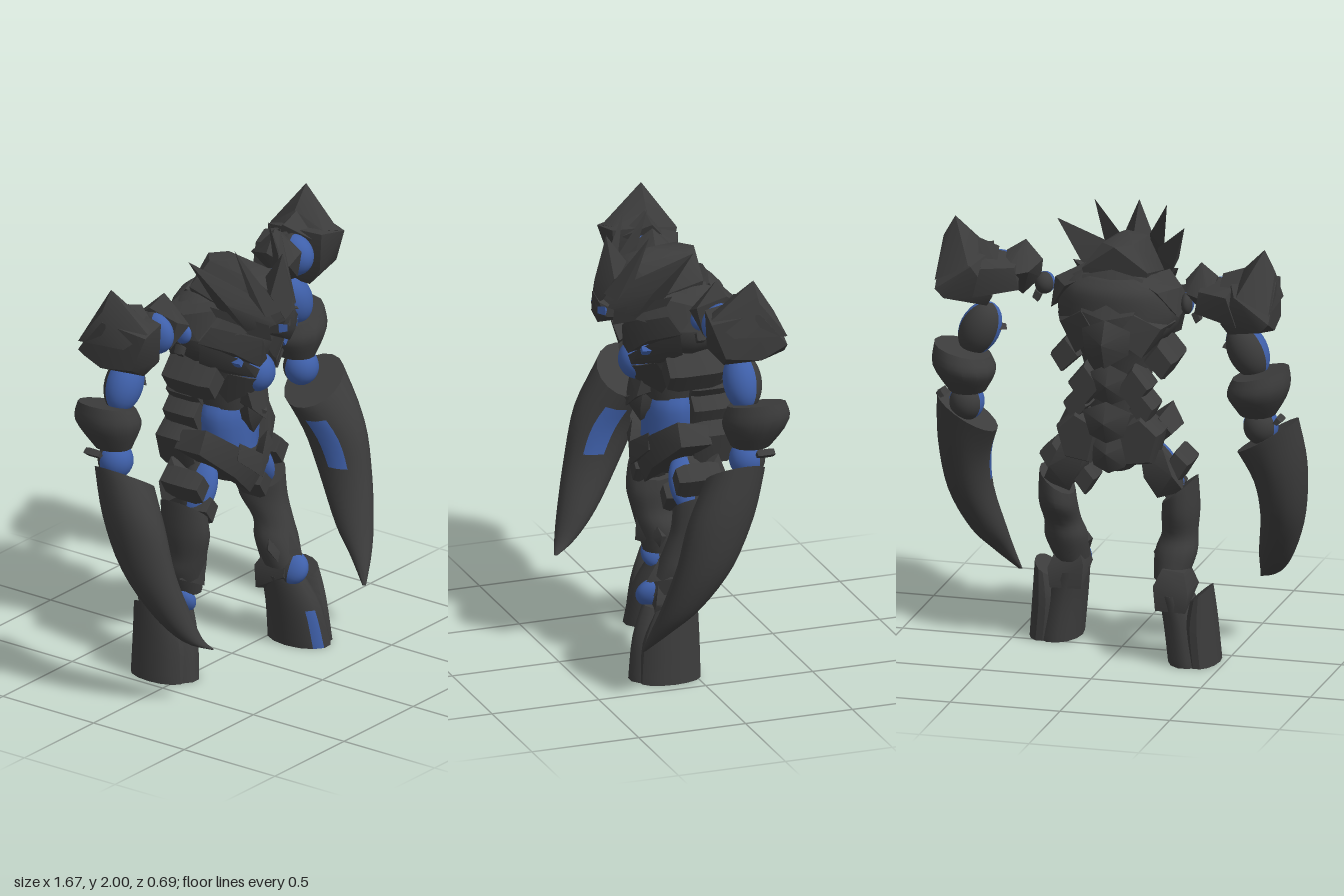
import * as THREE from 'three';
import { toCreasedNormals } from 'three/addons/utils/BufferGeometryUtils.js';
import { ConvexGeometry } from 'three/addons/geometries/ConvexGeometry.js';

const stone = new THREE.MeshStandardMaterial({ color: 0x3c3c3c });
stone.name = 'charcoal stone';
const glow = new THREE.MeshStandardMaterial({ color: 0x3f60aa });
glow.name = 'blue core';

function add(parent, name, geometry, material) {
  const mesh = new THREE.Mesh(geometry, material);
  mesh.name = name;
  parent.add(mesh);
  return mesh;
}

function group(parent, name, x = 0, y = 0, z = 0) {
  const g = new THREE.Group();
  g.name = name;
  g.position.set(x, y, z);
  parent.add(g);
  return g;
}

// Chiselled rock: the convex hull of a few points, s mirrors it
function rock(parent, name, pts, s = 1, mat = stone) {
  const v = pts.map(([x, y, z]) => new THREE.Vector3(x * s, y, z));
  return add(parent, name, toCreasedNormals(new ConvexGeometry(v), 0.7), mat);
}

// Plate with a front outline, thick from z0 to z1, bevelled at both faces
function slab(parent, name, outline, z0, z1, s = 1, mat = stone) {
  const cx = outline.reduce((a, p) => a + p[0], 0) / outline.length;
  const cy = outline.reduce((a, p) => a + p[1], 0) / outline.length;
  const pts = [];
  for (const [x, y] of outline) {
    for (const [t, k] of [[0, 0.85], [0.2, 1], [0.8, 1], [1, 0.8]]) {
      pts.push([cx + (x - cx) * k, cy + (y - cy) * k, z0 + (z1 - z0) * t]);
    }
  }
  return rock(parent, name, pts, s, mat);
}

// Joint with a blue front and a stone back; wrap widens the blue part
function ball(parent, name, [x, y, z], [rx, ry, rz], s = 1, tilt = 0, wrap = 0.3) {
  const joint = group(parent, name, x * s, y, z);
  joint.rotation.z = tilt * s;
  const span = Math.PI + 2 * wrap;
  const part = (start, length) => new THREE.SphereGeometry(1, 14, 14, start, length).scale(rx, ry, rz);
  add(joint, 'blueFront', part(-wrap, span), glow);
  add(joint, 'stoneBack', part(span - wrap, 2 * Math.PI - span), stone);
}

// Smooth body through rings [x, y, z, rx, rz, slope], listed from top to bottom
function loft(parent, name, keys, s = 1, mat = stone, paint = null, n = 14, sub = 4) {
  const rings = [];
  const at = (i) => keys[Math.min(Math.max(i, 0), keys.length - 1)];
  for (let i = 0; i < keys.length - 1; i++) {
    for (let k = 0; k < sub || (i === keys.length - 2 && k === sub); k++) {
      const t = k / sub;
      rings.push([0, 1, 2, 3, 4, 5].map((c) => {
        const [a, b, d, e] = [at(i - 1), at(i), at(i + 1), at(i + 2)].map((r) => r[c] || 0);
        return b + 0.5 * t * (d - a + t * (2 * a - 5 * b + 4 * d - e + t * (3 * (b - d) + e - a)));
      }));
    }
  }
  const P = ([x, y, z, rx, rz, k], j) => {
    const a = (j / n) * Math.PI * 2, c = Math.cos(a) * rx;
    return [x * s + c, y + c * k * s, z + Math.sin(a) * rz];
  };
  const base = [], painted = [];
  const top = rings[0], low = rings[rings.length - 1];
  for (let j = 0; j < n; j++) {
    base.push(top[0] * s, top[1], top[2], ...P(top, j + 1), ...P(top, j));
    base.push(low[0] * s, low[1], low[2], ...P(low, j), ...P(low, j + 1));
    const a = ((j + 0.5) / n) * Math.PI * 2;
    for (let i = 0; i < rings.length - 1; i++) {
      const A = P(rings[i], j), B = P(rings[i], j + 1), C = P(rings[i + 1], j), D = P(rings[i + 1], j + 1);
      const blue = paint && paint(rings[i][1], Math.cos(a) * s, Math.sin(a));
      (blue ? painted : base).push(...A, ...B, ...C, ...B, ...D, ...C);
    }
  }
  const g = new THREE.BufferGeometry();
  g.setAttribute('position', new THREE.Float32BufferAttribute([...base, ...painted], 3));
  g.addGroup(0, base.length / 3, 0);
  if (painted.length) g.addGroup(base.length / 3, painted.length / 3, 1);
  return add(parent, name, toCreasedNormals(g, 0.7), paint ? [mat, glow] : mat);
}

const both = (pts) => pts.flatMap(([x, y, z]) => (x ? [[x, y, z], [-x, y, z]] : [[0, y, z]]));

function buildHead(root) {
  const head = group(root, 'head');
  rock(head, 'skull', both([[0, 1.87, -0.13], [0.07, 1.87, -0.07], [0.15, 1.76, -0.12], [0.17, 1.72, 0.08],
    [0.11, 1.62, 0.2], [0, 1.58, 0.31], [0, 1.72, 0.33], [0.07, 1.84, 0.18], [0.11, 1.62, -0.1], [0, 1.89, 0.08]]));
  rock(head, 'browCrest', both([[0, 1.97, 0.28], [0.075, 1.79, 0.27], [0, 1.77, 0.335], [0, 1.8, 0.16], [0.03, 1.65, 0.34]]));
  rock(head, 'snout', both([[0.045, 1.68, 0.33], [0, 1.72, 0.345], [0, 1.57, 0.32], [0.05, 1.61, 0.3], [0, 1.63, 0.35], [0.07, 1.6, 0.2]]));
  for (const s of [1, -1]) {
    rock(head, 'innerHorn', [[0.165, 2, 0.14], [0.05, 1.72, 0.31], [0.135, 1.79, 0.2], [0.07, 1.84, 0.2], [0.11, 1.7, 0.27]], s);
    rock(head, 'outerHorn', [[0.29, 1.95, -0.02], [0.07, 1.66, 0.3], [0.21, 1.73, 0.08], [0.22, 1.76, 0.14],
      [0.1, 1.77, 0.23], [0.15, 1.63, 0.2]], s);
    rock(head, 'cheek', [[0.24, 1.74, 0.06], [0.2, 1.64, 0.1], [0.08, 1.58, 0.28], [0.1, 1.66, 0.28], [0.1, 1.6, 0.12]], s);
    rock(head, 'eye', [[0.035, 1.625, 0.334], [0.068, 1.665, 0.31], [0.06, 1.62, 0.306], [0.04, 1.66, 0.336], [0.045, 1.64, 0.29]], s, glow);
  }
}

function buildTorso(root) {
  const torso = group(root, 'torso');
  loft(torso, 'ribcage', [[0, 1.74, -0.07, 0.15, 0.13], [0, 1.69, -0.06, 0.24, 0.19], [0, 1.6, -0.04, 0.28, 0.22],
    [0, 1.5, -0.04, 0.26, 0.22], [0, 1.4, -0.04, 0.18, 0.19], [0, 1.2, -0.03, 0.13, 0.14]]);
  loft(torso, 'waist', [[0, 1.22, -0.03, 0.13, 0.12], [0, 1.15, -0.02, 0.155, 0.125], [0, 1, -0.02, 0.14, 0.13]], 1, stone,
    (y, c, f) => f > -0.5);
  loft(torso, 'pelvis', [[0, 1.04, -0.07, 0.15, 0.15], [0, 0.96, -0.06, 0.16, 0.17], [0, 0.84, -0.03, 0.06, 0.09]]);
  ball(torso, 'chestOrb', [0, 1.375, 0.135], [0.085, 0.09, 0.085]);
  rock(torso, 'upperBellyPlate', both([[0.07, 1.3, 0.14], [0.06, 1.22, 0.16], [0, 1.16, 0.19], [0, 1.3, 0.17], [0.07, 1.25, 0.04]]));
  rock(torso, 'lowerBellyPlate', both([[0.06, 1.24, 0.13], [0.055, 1.16, 0.14], [0, 1.08, 0.12], [0, 1.2, 0.195], [0.05, 1.15, 0.04]]));
  rock(torso, 'backSpike', both([[0, 1.48, -0.34], [0.11, 1.53, -0.26], [0.1, 1.42, -0.25], [0, 1.36, -0.29], [0, 1.58, -0.28]]));
  rock(torso, 'neckPlate', both([[0, 1.78, -0.17], [0.14, 1.74, -0.15], [0.12, 1.6, -0.24], [0, 1.58, -0.29], [0.1, 1.7, -0.05]]));
  // Overlapping spine plates down the back
  for (const [y, w, z] of [[1.27, 0.1, -0.25], [1.11, 0.11, -0.29], [0.96, 0.1, -0.25]]) {
    rock(torso, 'spinePlate', both([[0, y + 0.09, z + 0.03], [w, y + 0.04, z + 0.04], [w * 0.7, y - 0.07, z + 0.04],
      [0, y - 0.1, z + 0.03], [0, y, z - 0.02], [w, y, z + 0.14]]));
  }
  for (const s of [1, -1]) {
    rock(torso, 'collar', [[0.29, 1.69, -0.05], [0.19, 1.72, 0.1], [0.3, 1.59, 0.04], [0.15, 1.62, 0.2],
      [0.21, 1.69, -0.18], [0.1, 1.74, -0.15], [0.29, 1.57, -0.12]], s);
    rock(torso, 'upperRib', [[0.02, 1.46, 0.21], [0.06, 1.43, 0.2], [0.09, 1.58, 0.24], [0.27, 1.66, 0.09],
      [0.3, 1.58, 0.04], [0.2, 1.53, 0.16], [0.1, 1.5, 0.08]], s);
    rock(torso, 'middleRib', [[0.06, 1.42, 0.2], [0.075, 1.38, 0.19], [0.285, 1.58, 0.04], [0.265, 1.47, 0.02],
      [0.16, 1.49, 0.17], [0.15, 1.4, 0.08]], s);
    rock(torso, 'lowerRib', [[0.06, 1.37, 0.19], [0.05, 1.3, 0.16], [0.17, 1.41, 0.11], [0.16, 1.31, 0.04],
      [0.1, 1.38, 0.17], [0.11, 1.24, 0.06]], s);
    slab(torso, 'ribGlow', [[0.14, 1.475], [0.165, 1.5], [0.18, 1.475], [0.16, 1.45]], 0.1, 0.175, s, glow);
    slab(torso, 'flankPlate', [[0.14, 1.37], [0.21, 1.46], [0.285, 1.37], [0.23, 1.285]], -0.18, 0.08, s);
    rock(torso, 'backPlate', [[0.04, 1.5, -0.28], [0.12, 1.6, -0.24], [0.23, 1.53, -0.19], [0.15, 1.4, -0.22],
      [0.27, 1.54, -0.08], [0.16, 1.4, -0.08], [0.14, 1.63, -0.1]], s);
    slab(torso, 'lowerBackPlate', [[0.03, 1.25], [0.11, 1.36], [0.19, 1.26], [0.11, 1.15]], -0.23, -0.06, s);
    slab(torso, 'waistPlate', [[0.09, 1.16], [0.15, 1.24], [0.21, 1.17], [0.16, 1.07]], -0.23, -0.06, s);
    slab(torso, 'rearHipPlate', [[0.04, 1.08], [0.15, 1.14], [0.24, 1.06], [0.2, 0.92], [0.08, 0.9]], -0.25, -0.06, s);
    rock(torso, 'hipGuard', [[0, 0.95, 0.15], [0, 0.79, 0.1], [0.275, 1.04, 0.03], [0.225, 1.14, 0.03], [0.13, 1.06, 0.12],
      [0.12, 0.9, 0.11], [0.26, 1.03, -0.12], [0.2, 1.1, -0.12], [0, 0.84, -0.02]], s);
    rock(torso, 'innerChevron', [[0, 0.99, 0.17], [0, 0.88, 0.17], [0.13, 0.99, 0.13], [0.1, 1.06, 0.12], [0.05, 0.95, 0.05]], s);
  }
}

function buildArm(root, s) {
  const arm = group(root, s > 0 ? 'leftArm' : 'rightArm');
  const shoulder = group(arm, 'shoulder', 0.015, s * 0.02);
  rock(shoulder, 'pauldron', [[0.76, 1.8, -0.15], [0.755, 1.58, -0.16], [0.74, 1.6, 0], [0.6, 1.52, -0.04], [0.58, 1.6, 0.03],
    [0.58, 1.78, 0.04], [0.72, 1.76, 0.06], [0.52, 1.6, -0.2], [0.54, 1.79, -0.12], [0.72, 1.6, -0.28], [0.6, 1.75, -0.27],
    [0.55, 1.55, -0.18], [0.76, 1.64, -0.28]], s);
  rock(shoulder, 'pauldronSpike', [[0.705, 1.94, -0.14], [0.755, 1.85, -0.15], [0.61, 1.845, -0.13], [0.58, 1.79, -0.1], [0.69, 1.77, 0.05],
    [0.61, 1.75, -0.27], [0.76, 1.7, -0.03], [0.76, 1.68, -0.28], [0.62, 1.78, 0.02]], s);
  rock(shoulder, 'pauldronRidge', [[0.51, 1.81, -0.12], [0.61, 1.845, -0.12], [0.5, 1.7, -0.22], [0.58, 1.74, 0.02], [0.66, 1.78, -0.16]], s);
  rock(shoulder, 'shoulderBridge', [[0.42, 1.76, -0.12], [0.58, 1.79, -0.1], [0.4, 1.64, -0.2], [0.6, 1.6, -0.24], [0.56, 1.74, -0.26],
    [0.42, 1.74, -0.2], [0.44, 1.61, -0.08], [0.58, 1.58, -0.08]], s);
  ball(shoulder, 'shoulderJoint', [s > 0 ? 0.52 : 0.485, 1.68, -0.07], [s > 0 ? 0.075 : 0.06, 0.095, 0.1], s, 0, -0.2);
  rock(shoulder, 'innerPauldron', [[0.4, 1.84, -0.08], [0.48, 1.79, -0.1], [0.325, 1.75, -0.07], [0.34, 1.66, -0.05], [0.42, 1.58, -0.06],
    [0.46, 1.61, 0], [0.45, 1.74, 0.03], [0.36, 1.7, 0.03], [0.47, 1.7, -0.22], [0.36, 1.72, -0.18]], s);
  ball(shoulder, 'collarJoint', [0.325, 1.635, -0.04], [s > 0 ? 0.045 : 0.028, 0.05, 0.05], s);
  slab(shoulder, 'shard', [[0.34, 1.58], [0.37, 1.6], [0.385, 1.56], [0.36, 1.54]], -0.04, 0, s);

  ball(arm, 'upperArm', [0.61, 1.45, -0.13], [0.09, 0.13, 0.085], s, 0.45, 0.45);
  rock(arm, 'elbowSpur', [[0.5, 1.47, -0.1], [0.49, 1.45, -0.12], [0.55, 1.44, -0.05], [0.58, 1.49, -0.12], [0.56, 1.46, -0.2]], s);
  loft(arm, 'armGuard', [[0.68, 1.365, -0.17, 0.125, 0.13, 0.25], [0.67, 1.28, -0.17, 0.14, 0.15, 0.12],
    [0.66, 1.17, -0.15, 0.08, 0.09, 0]], s);
  ball(arm, 'wrist', [0.67, 1.11, -0.13], [0.078, 0.085, 0.08], s, 0, 0.45);
  slab(arm, 'wristShard', [[0.745, 1.15], [0.765, 1.18], [0.79, 1.16], [0.765, 1.14]], -0.22, -0.14, s);
  // Long curved claw with a blue inner face
  loft(arm, 'claw', [[0.685, 1.05, -0.07, 0.135, 0.13, 0.6], [0.72, 0.86, 0.01, 0.115, 0.15, 0.35], [0.712, 0.65, 0.08, 0.098, 0.13],
    [0.66, 0.45, 0.17, 0.08, 0.09], [0.61, 0.33, 0.245, 0.047, 0.048], [0.55, 0.25 - s * 0.03, 0.31, 0.008, 0.008]],
    s, stone, (y, c, f) => y < 1 && y > 0.72 && c < -0.8 && f > 0, 18);
}

function buildLeg(root, s) {
  const leg = group(root, s > 0 ? 'leftLeg' : 'rightLeg');
  // The left leg steps forward, the right one back
  const step = (rings) => rings.map(([x, y, z, ...r]) => [x, y, z + s * 0.11 * Math.min(1, Math.max(0, (0.65 - y) / 0.35)), ...r]);
  ball(leg, 'thighCore', [0.205, 0.845, -0.03], [0.06, 0.14, 0.09], s, 0.5, 0);
  rock(leg, 'rearThigh', [[0.13, 0.95, -0.17], [0.23, 0.97, -0.16], [0.28, 0.86, -0.19], [0.32, 0.78, -0.14], [0.2, 0.74, -0.14],
    [0.15, 0.84, -0.18], [0.15, 0.9, -0.06], [0.28, 0.84, -0.05], [0.23, 0.76, -0.05]], s);
  slab(leg, 'outerHipPlate', [[0.23, 0.89], [0.28, 0.96], [0.345, 0.9], [0.29, 0.81]], -0.14, 0.06, s);
  const d = s > 0 ? 0 : 0.08;
  slab(leg, 'thighPlate', [[0.1 + d, 0.78], [0.15 + d, 0.84], [0.21 + d, 0.78], [0.15 + d, 0.7]], -0.08, 0.07, s);
  loft(leg, 'thigh', step([[0.28, 0.765, -0.05, 0.075, 0.12, 0.8], [0.28, 0.66, -0.04, 0.082, 0.12, 0.2], [0.275, 0.56, -0.01, 0.08, 0.095],
    [0.265, 0.48, -0.01, 0.095, 0.1], [0.25, 0.37, 0, 0.075, 0.1]]), s);
  rock(leg, 'kneePlate', step([[0.155, 0.46, 0.02], [0.21, 0.55, 0.02], [0.18, 0.4, 0.04], [0.26, 0.42, 0.12], [0.25, 0.54, 0.08],
    [0.23, 0.42, -0.1], [0.35, 0.46, 0.04], [0.3, 0.53, -0.06]]), s);
  const foot = group(leg, 'foot', -0.015, 0, s * 0.11);
  ball(foot, 'kneeJoint', [s > 0 ? 0.255 : 0.27, s > 0 ? 0.365 : 0.34, 0.04], [0.05, 0.075, 0.08], s, -0.5, -0.2);
  rock(foot, 'ankle', [[0.19, 0.36, -0.12], [0.22, 0.43, -0.08], [0.32, 0.42, -0.08], [0.35, 0.34, -0.13], [0.19, 0.34, 0.04],
    [0.35, 0.34, 0.06], [0.32, 0.42, 0.04], [0.22, 0.42, 0.03], [0.2, 0.25, -0.12], [0.34, 0.25, -0.13], [0.3, 0.25, 0.06]], s);
  loft(foot, 'footShell', [[0.265, 0.32, -0.02, 0.075, 0.11, -0.1], [0.3, 0.18, 0.01, 0.09, 0.14], [0.33, 0, 0.02, 0.1, 0.16]],
    s, stone, (y, c, f) => s > 0 && y < 0.2 && c < -0.1 && c > -0.6 && f > 0.3);
  loft(foot, 'outerFootShell', [[0.385, 0.32, -0.02, 0.045, 0.1, 0.8], [0.375, 0.18, 0, 0.07, 0.13, 0.2], [0.39, 0, 0.01, 0.07, 0.14]], s);
}

export function createModel() {
  const model = new THREE.Group();
  model.name = 'stoneGolem';
  buildHead(model);
  buildTorso(model);
  for (const s of [1, -1]) {
    buildArm(model, s);
    buildLeg(model, s);
  }
  return model;
}
